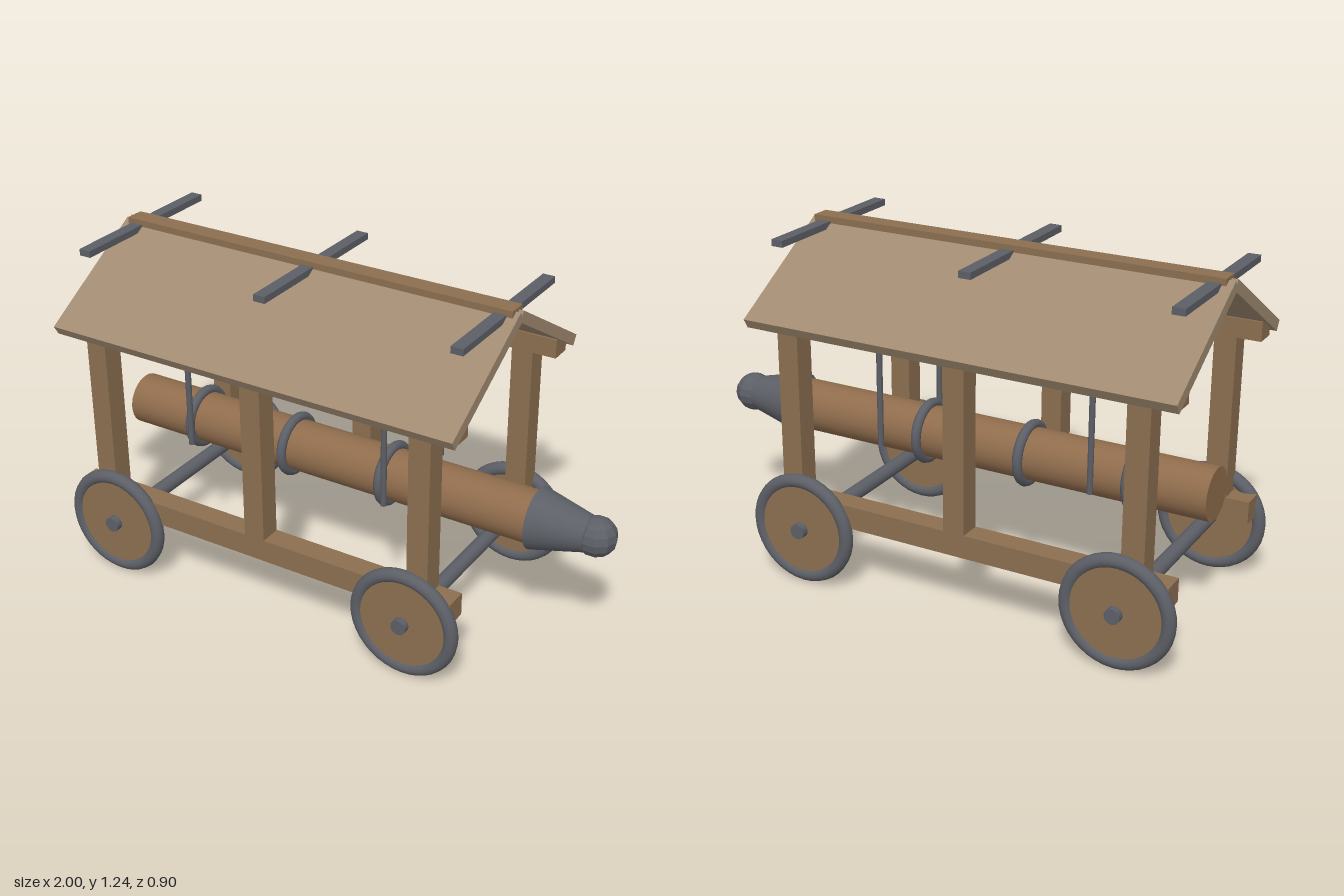
import * as THREE from 'three';

const wood = new THREE.MeshStandardMaterial({ color: 0x8b6f50 });
const logWood = new THREE.MeshStandardMaterial({ color: 0x8f6c4c });
const roofWood = new THREE.MeshStandardMaterial({ color: 0xa08a70 });
const iron = new THREE.MeshStandardMaterial({ color: 0x5c5f66 });
const ironFlat = new THREE.MeshStandardMaterial({ color: 0x5c5f66, flatShading: true });

export function createModel() {
  const model = new THREE.Group();
  model.name = 'batteringRam';

  const add = (name, geometry, material, x, y, z, parent = model) => {
    const mesh = new THREE.Mesh(geometry, material);
    mesh.name = name;
    mesh.position.set(x, y, z);
    parent.add(mesh);
    return mesh;
  };
  const box = (w, h, d) => new THREE.BoxGeometry(w, h, d);
  const cylinderX = (rFront, rBack, length, sides) =>
    new THREE.CylinderGeometry(rFront, rBack, length, sides).rotateZ(-Math.PI / 2);
  const cylinderZ = (r, length, sides) =>
    new THREE.CylinderGeometry(r, r, length, sides).rotateX(Math.PI / 2);

  const midX = -0.183;
  const wheelXs = [-0.793, 0.428];
  const wheelY = 0.211;

  for (const side of [1, -1]) {
    // Side frame: rails and posts
    add('bottomRail', box(1.56, 0.085, 0.083), wood, midX, 0.293, side * 0.359);
    add('topRail', box(1.56, 0.07, 0.08), wood, midX, 0.967, side * 0.36);
    for (const x of [-0.836, midX, 0.47]) {
      add('post', box(0.08, 0.72, 0.08), wood, x, 0.64, side * 0.36);
    }

    // Sloping roof panel, from the ridge down to the eave
    const slope = Math.atan2(0.265, 0.441);
    const panel = add('roofPanel', box(1.59, 0.04, 0.515), roofWood, midX, 1.09, side * 0.2205);
    panel.rotation.x = side * slope;

    // Hanging rods beside the ram
    for (const x of [-0.59, 0.225]) {
      add('hangingRod', new THREE.CylinderGeometry(0.011, 0.011, 0.445, 8), iron, x, 0.72, side * 0.204);
    }

    // Wheels with iron tyres
    for (const x of wheelXs) {
      const wheel = new THREE.Group();
      wheel.name = 'wheel';
      wheel.position.set(x, wheelY, side * 0.409);
      add('wheelDisc', cylinderZ(0.178, 0.03, 32), wood, 0, 0, 0, wheel);
      add('tyre', new THREE.TorusGeometry(0.181, 0.025, 12, 40), iron, 0, 0, 0, wheel);
      model.add(wheel);
    }
  }

  // Axles
  for (const x of wheelXs) {
    add('axle', cylinderZ(0.028, 0.9, 16), iron, x, wheelY, 0);
  }

  // Ridge beam and the bars across it
  add('ridgeBeam', box(1.55, 0.072, 0.07), wood, -0.18, 1.213, 0);
  for (const x of [-0.917, midX, 0.551]) {
    add('ridgeBar', box(0.045, 0.024, 0.65), iron, x, 1.22, 0);
  }

  // Ram: log, bands and iron head
  const ramY = 0.497;
  add('ramLog', cylinderX(0.095, 0.095, 1.665, 32), logWood, -0.123, ramY, 0);
  for (const x of [-0.674, -0.265, 0.143]) {
    const band = add('ramBand', new THREE.TorusGeometry(0.103, 0.018, 10, 32), iron, x, ramY, 0);
    band.rotation.y = Math.PI / 2;
  }
  add('ramHead', cylinderX(0.058, 0.112, 0.22, 32), iron, 0.818, ramY, 0);
  add('ramTip', new THREE.SphereGeometry(0.072, 10, 8), ironFlat, 0.928, ramY, 0);

  return model;
}
